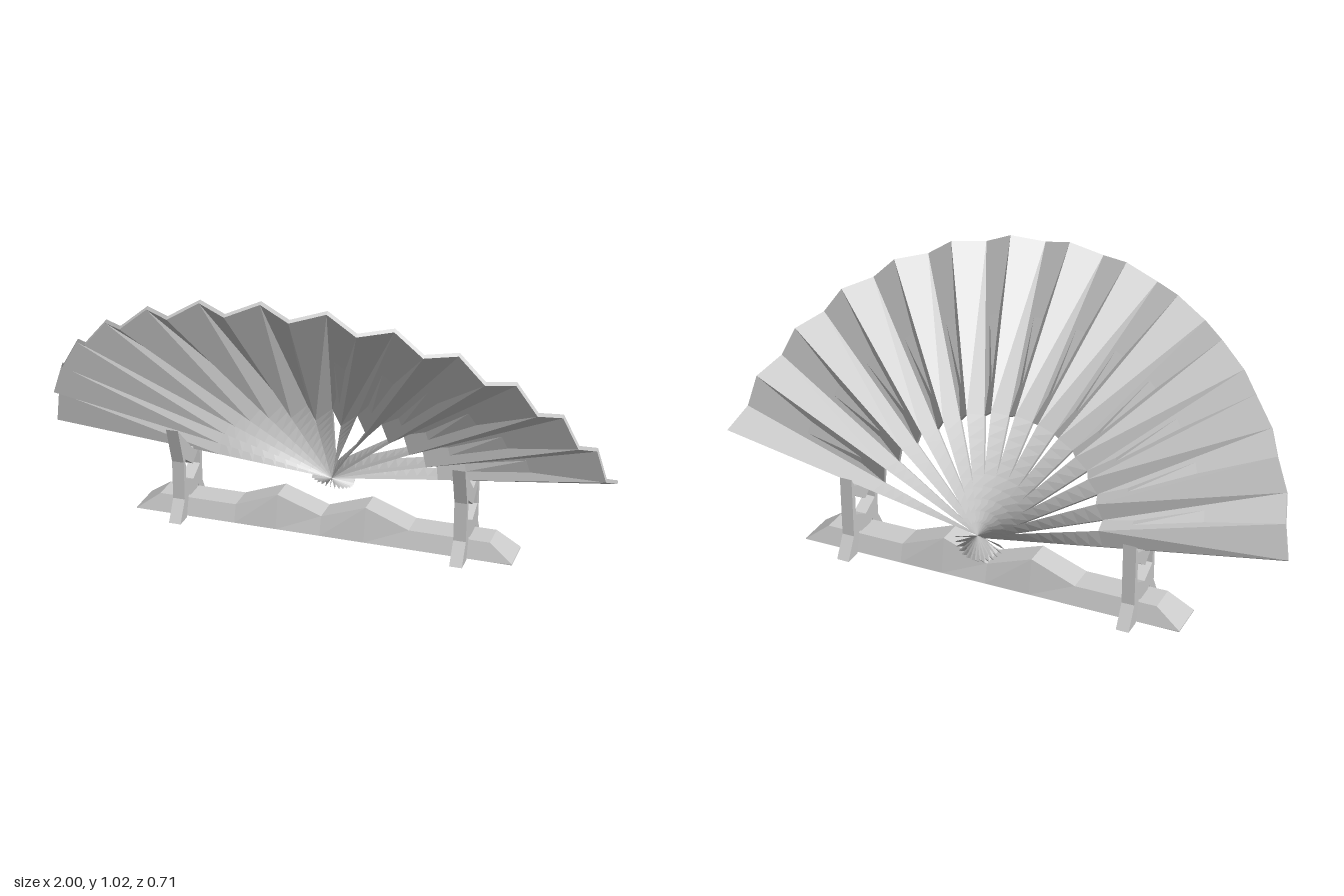
import * as THREE from 'three';

const material = new THREE.MeshStandardMaterial({ color: 0xcccccc, flatShading: true, side: THREE.DoubleSide });

function addMesh(parent, geometry, name) {
  const mesh = new THREE.Mesh(geometry, material);
  mesh.name = name;
  parent.add(mesh);
  return mesh;
}

// Fan layout: pleat folds alternate behind and in front of the fan plane
const PANELS = 27, OUTER = 1.012, INNER = 0.41, HEAD = -0.08;
const START = THREE.MathUtils.degToRad(8.6);
const STEP = (Math.PI - 2 * START) / PANELS;
const FOLD = 0.027, THICK = 0.014;

// One flat strip between neighbouring folds, running from radius r0 to r1
function pleatStrip(i, r0, r1, segments) {
  const g = new THREE.BoxGeometry(1, 1, 1, 1, segments, 1);
  const p = g.attributes.position;
  for (let k = 0; k < p.count; k++) {
    const fold = p.getX(k) > 0 ? i : i + 1;
    const angle = START + fold * STEP;
    const r = r0 + (r1 - r0) * (p.getY(k) + 0.5);
    const depth = (fold % 2 ? FOLD : -FOLD) + p.getZ(k) * THICK;
    p.setXYZ(k, r * Math.cos(angle), r * Math.sin(angle), depth);
  }
  g.computeVertexNormals();
  return g;
}

function createFan() {
  const fan = new THREE.Group();
  fan.name = 'fan';
  for (let i = 0; i < PANELS; i++) {
    addMesh(fan, pleatStrip(i, INNER, OUTER, 1), 'pleat');
    // every second pleat is carried by a rib that twists through the pivot
    if (i % 2 === 0) {
      addMesh(fan, pleatStrip(i, 0, INNER, 10), 'rib');
      addMesh(fan, pleatStrip(i, HEAD, 0, 4), 'ribHead');
    }
  }
  fan.position.set(0, 0.193, -0.282);
  fan.rotation.x = THREE.MathUtils.degToRad(37);
  return fan;
}

// Upright holder, profile drawn as (z, y)
function holderGeometry() {
  const points = (list) => list.map(([z, y]) => new THREE.Vector2(z, y));
  const shape = new THREE.Shape(points([
    [-0.07, 0], [-0.115, 0.077], [-0.115, 0.22], [-0.07, 0.36], [-0.2, 0.24],
    [-0.266, 0.263], [-0.286, 0.295], [-0.286, 0.077], [-0.33, 0], [-0.268, 0],
    [-0.249, 0.078], [-0.2, 0.058], [-0.153, 0.078], [-0.132, 0],
  ]));
  shape.holes.push(new THREE.Path(points([
    [-0.133, 0.225], [-0.2, 0.18], [-0.266, 0.225],
    [-0.266, 0.152], [-0.2, 0.12], [-0.133, 0.152],
  ])));
  const g = new THREE.ExtrudeGeometry(shape, { depth: 0.044, bevelEnabled: false });
  g.translate(0, 0, -0.022);
  g.rotateY(-Math.PI / 2);
  return g;
}

// Base bar with a wavy top, narrower at the top than at the bottom
function barGeometry() {
  const stations = [
    [-0.69, 0.01], [-0.605, 0.07], [-0.32, 0.07], [-0.165, 0.13], [-0.005, 0.073],
    [0.155, 0.13], [0.31, 0.07], [0.595, 0.07], [0.677, 0.01],
  ];
  const g = new THREE.BoxGeometry(1, 1, 1, stations.length - 1, 1, 1);
  const p = g.attributes.position;
  for (let k = 0; k < p.count; k++) {
    const [x, top] = stations[Math.round((p.getX(k) + 0.5) * (stations.length - 1))];
    const isTop = p.getY(k) > 0;
    const half = isTop ? 0.068 - 0.3 * (Math.min(top, 0.08) - 0.01) : 0.068;
    p.setXYZ(k, x, isTop ? top : 0.006, -0.2 + Math.sign(p.getZ(k)) * half);
  }
  g.computeVertexNormals();
  return g;
}

export function createModel() {
  const model = new THREE.Group();
  model.name = 'foldingFanOnStand';
  model.add(createFan());

  const stand = new THREE.Group();
  stand.name = 'stand';
  addMesh(stand, barGeometry(), 'baseBar');
  const holder = holderGeometry();
  addMesh(stand, holder, 'leftHolder').position.x = 0.498;
  addMesh(stand, holder, 'rightHolder').position.x = -0.52;
  model.add(stand);
  return model;
}
